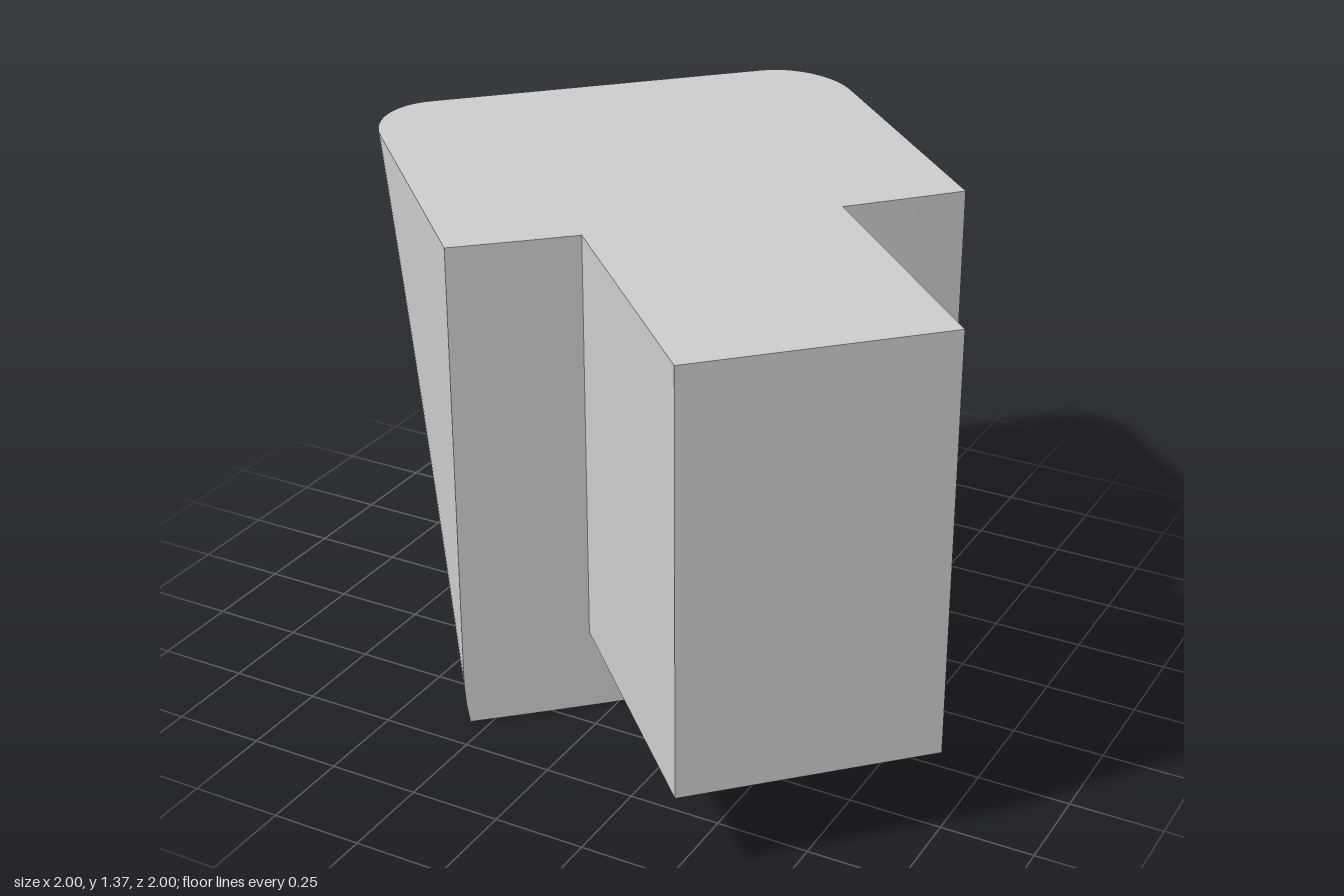
import * as THREE from 'three';
import { toCreasedNormals } from 'three/addons/utils/BufferGeometryUtils.js';

const HEIGHT = 1.37, HALF = 0.686, RADIUS = 0.19, FRONT = 0.2475;
const ROWS = 24, FRONT_STEPS = 12, CORNER_STEPS = 12;

// Horizontal outline of the body at height y, counterclockwise from above
function section(y) {
  const back = 0.105 - 0.6 * y - 0.078 * y * y; // curved sloping back
  const slope = 0.6 + 0.156 * y;
  const depth = RADIUS * Math.hypot(1, slope); // rounding stretched by the slope
  const centre = back + depth;
  const start = Math.asin(Math.max(0, (centre - FRONT) / depth));
  const inner = HALF - RADIUS;
  const width = inner + RADIUS * Math.cos(start);
  const ring = [];
  // slightly bowed front
  for (let i = 0; i <= FRONT_STEPS; i++) {
    const x = width * (2 * i / FRONT_STEPS - 1);
    ring.push([x, FRONT + 0.0407 * (width * width - x * x)]);
  }
  // rounded back corners
  const corner = [];
  for (let i = 0; i <= CORNER_STEPS; i++) {
    const t = start + (Math.PI / 2 - start) * i / CORNER_STEPS;
    corner.push([inner + RADIUS * Math.cos(t), centre - depth * Math.sin(t)]);
  }
  ring.push(...corner, ...corner.map(([x, z]) => [-x, z]).reverse());
  return ring.map(([x, z]) => [x, y, z]);
}

function bodyGeometry() {
  const rings = [];
  for (let r = 0; r <= ROWS; r++) rings.push(section(HEIGHT * r / ROWS));
  const n = rings[0].length, index = [];
  const positions = rings.flat(2);
  for (let r = 0; r < ROWS; r++) {
    for (let i = 0; i < n; i++) {
      const a = r * n + i, b = r * n + (i + 1) % n;
      index.push(a, b, b + n, a, b + n, a + n);
    }
  }
  // bottom and top caps
  const low = n * (ROWS + 1), high = low + 1, last = n * ROWS;
  positions.push(0, 0, 0.2, 0, HEIGHT, -0.3);
  for (let i = 0; i < n; i++) {
    const j = (i + 1) % n;
    index.push(low, j, i, high, last + i, last + j);
  }
  const geometry = new THREE.BufferGeometry();
  geometry.setAttribute('position', new THREE.Float32BufferAttribute(positions, 3));
  geometry.setIndex(index);
  return toCreasedNormals(geometry, 0.5);
}

export function createModel() {
  const model = new THREE.Group();
  model.name = 'wedgeBlock';
  const material = new THREE.MeshStandardMaterial({ color: 0xcccccc });

  const body = new THREE.Mesh(bodyGeometry(), material);
  body.name = 'taperedBody';

  // square block projecting from the front
  const armBottom = 0.23, armBack = 0.262, armFront = 1.068;
  const arm = new THREE.Mesh(
    new THREE.BoxGeometry(0.686, HEIGHT - armBottom, armFront - armBack), material);
  arm.name = 'frontBlock';
  arm.position.set(0, (HEIGHT + armBottom) / 2, (armFront + armBack) / 2);

  // the whole piece sits diagonally
  const piece = new THREE.Group();
  piece.name = 'diagonalPiece';
  piece.add(body, arm);
  piece.rotation.y = Math.PI / 4;
  model.add(piece);
  return model;
}
